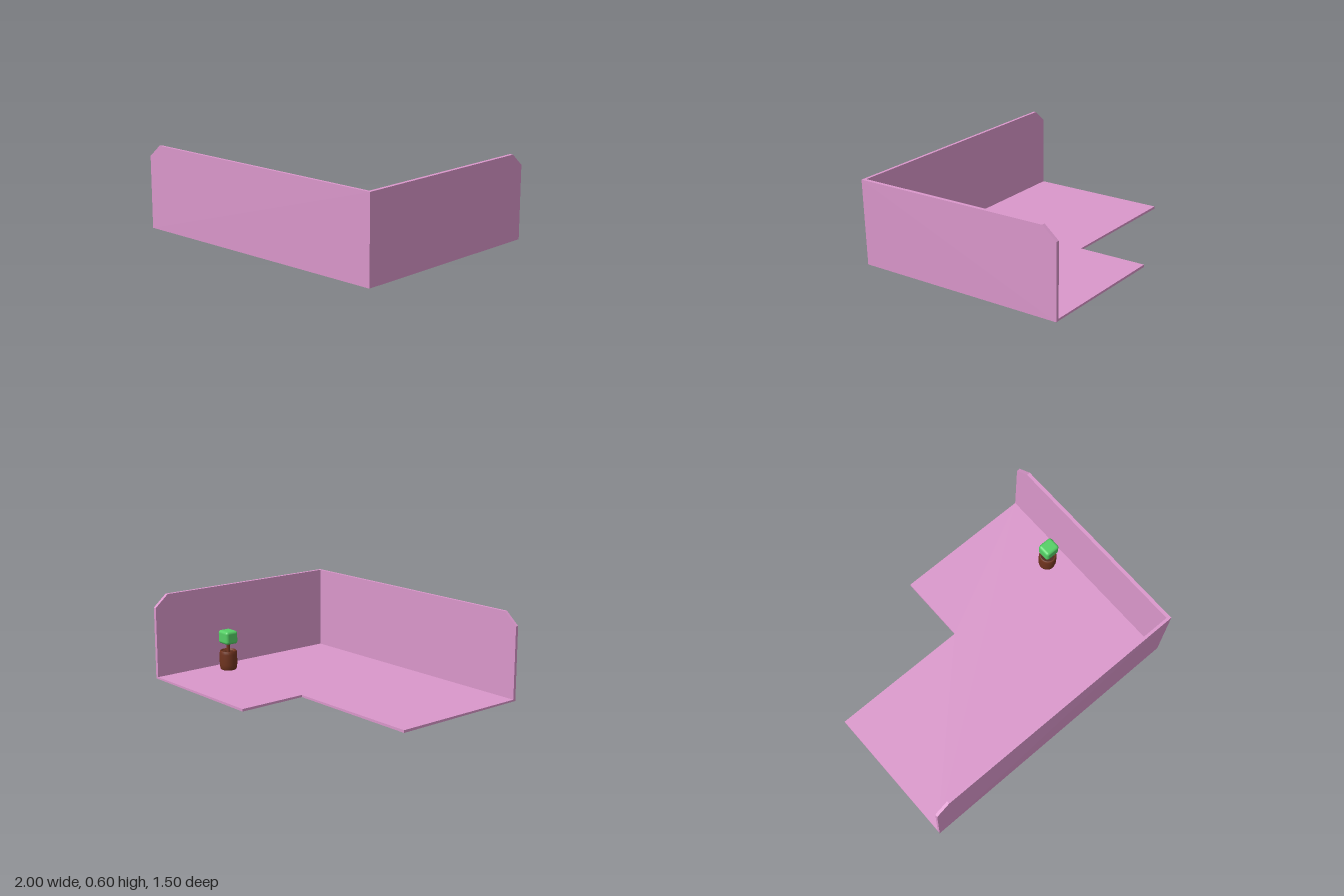
import * as THREE from 'three';
import { RoundedBoxGeometry } from 'three/addons/geometries/RoundedBoxGeometry.js';

const material = (color) => new THREE.MeshStandardMaterial({ color });

const WALL_X = 0.975; // inner face of the left wall
const WALL_Z = 0.73; // inner face of the front wall

function extrude(points, depth) {
  const shape = new THREE.Shape(points.map(([x, y]) => new THREE.Vector2(x, y)));
  return new THREE.ExtrudeGeometry(shape, { depth, bevelEnabled: false });
}

// Slightly tilted underside, and outer walls leaning in toward the lower front corner
function settle(geometry) {
  const p = geometry.attributes.position;
  for (let i = 0; i < p.count; i++) {
    const x = p.getX(i), y = p.getY(i), z = p.getZ(i);
    const lean = 0.01 * (1 - y / 0.6);
    if (y < 0.005) p.setY(i, y + 0.003 * (x + 1) + 0.005 * (z + 0.75));
    if (x > 0.99) p.setX(i, x - lean * (z + 0.75) / 1.5);
    if (z > 0.74) p.setZ(i, z - lean * (x + 1) / 2);
  }
  geometry.computeVertexNormals();
  return geometry;
}

export function createModel() {
  const model = new THREE.Group();
  model.name = 'roomCorner';

  const pink = material(0xda97cb);
  const brown = material(0x70341f);
  const darkBrown = material(0x4a2416);
  const green = material(0x55cf66);

  function add(parent, name, geometry, mat, y = 0) {
    const mesh = new THREE.Mesh(geometry, mat);
    mesh.name = name;
    mesh.position.y = y;
    parent.add(mesh);
    return mesh;
  }

  // L-shaped floor slab, drawn as (x, -z)
  const floor = extrude([
    [-1, -WALL_Z], [WALL_X, -WALL_Z], [WALL_X, 0.75],
    [-0.015, 0.75], [-0.015, 0.26], [-1, 0.26],
  ], 0.02).rotateX(-Math.PI / 2);
  add(model, 'floor', settle(floor), pink);

  // Walls with a clipped upper corner at the free end
  const wallProfile = (start, end) => [
    [start, 0], [end, 0], [end, 0.6], [start + 0.1, 0.6], [start, 0.515],
  ];
  const frontWall = extrude(wallProfile(-1, 1), 0.75 - WALL_Z).translate(0, 0, WALL_Z);
  add(model, 'frontWall', settle(frontWall), pink);
  const leftWall = extrude(wallProfile(-0.75, 0.75), 1 - WALL_X)
    .rotateY(-Math.PI / 2).translate(1, 0, 0);
  add(model, 'leftWall', settle(leftWall), pink);

  // Potted plant standing on the floor
  const plant = new THREE.Group();
  plant.name = 'pottedPlant';
  plant.position.set(0.835, 0.02, -0.245);
  model.add(plant);

  const potProfile = [
    [0, 0], [0.05, 0], [0.058, 0.008], [0.063, 0.04], [0.063, 0.115],
    [0.06, 0.135], [0.055, 0.14], [0.049, 0.138], [0.047, 0.122], [0, 0.122],
  ].map(([r, y]) => new THREE.Vector2(r, y));
  add(plant, 'pot', new THREE.LatheGeometry(potProfile, 24), brown);
  add(plant, 'soil', new THREE.CylinderGeometry(0.046, 0.046, 0.006, 24), darkBrown, 0.122);
  add(plant, 'stem', new THREE.CylinderGeometry(0.012, 0.014, 0.1, 12), brown, 0.165);
  add(plant, 'foliage', new RoundedBoxGeometry(0.112, 0.095, 0.1, 4, 0.02), green, 0.237);

  return model;
}
